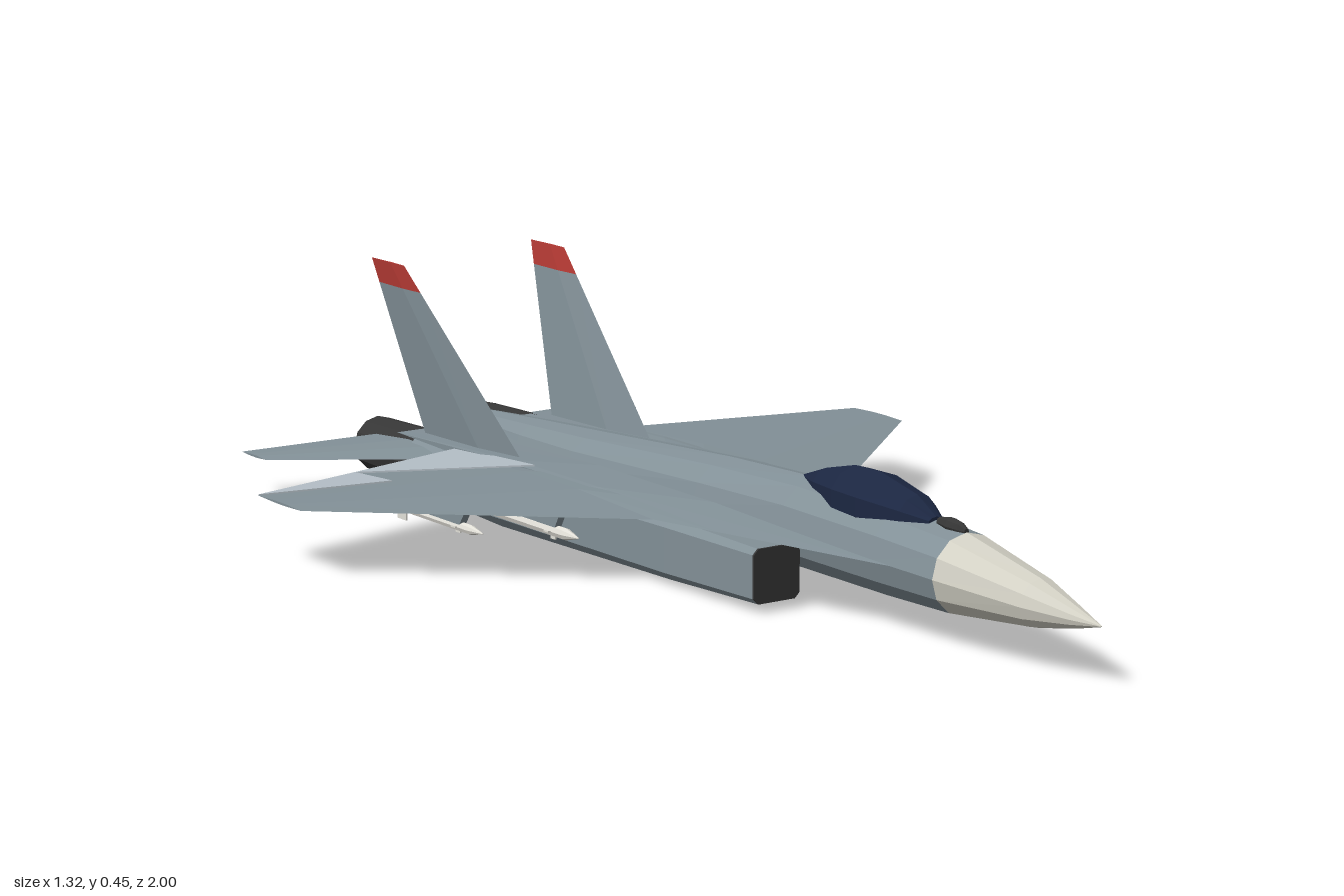
import * as THREE from 'three';

const mat = (name, color) => {
  const m = new THREE.MeshStandardMaterial({ color, flatShading: true });
  m.name = name;
  return m;
};

// Closed solid through equal-length rings of [x, y, z]; faces are turned outward
function loft(rings) {
  const tris = [], n = rings[0].length;
  const fan = r => { for (let i = 1; i < n - 1; i++) tris.push([r[0], r[i], r[i + 1]]); };
  for (let k = 0; k < rings.length - 1; k++) {
    const a = rings[k], b = rings[k + 1];
    for (let i = 0; i < n; i++) {
      const j = (i + 1) % n;
      tris.push([a[i], a[j], b[j]], [a[i], b[j], b[i]]);
    }
  }
  fan([...rings[0]].reverse());
  fan(rings[rings.length - 1]);
  let volume = 0;
  for (const [a, b, c] of tris) {
    volume += a[0] * (b[1] * c[2] - b[2] * c[1]) + a[1] * (b[2] * c[0] - b[0] * c[2]) + a[2] * (b[0] * c[1] - b[1] * c[0]);
  }
  if (volume < 0) tris.forEach(t => t.reverse());
  const g = new THREE.BufferGeometry();
  g.setAttribute('position', new THREE.Float32BufferAttribute(tris.flat(2), 3));
  g.computeVertexNormals();
  return g;
}

// Elliptical ring from [z, centreY, radiusX, radiusY]
const oval = (sides, turn = 0) => ([z, y, rx, ry]) => Array.from({ length: sides }, (_, i) => {
  const a = ((i + turn) / sides) * Math.PI * 2;
  return [Math.cos(a) * rx, y + Math.sin(a) * ry, z];
});

// Thin aerofoil ring from [x, y, leadingZ, trailingZ, halfThickness]
const foil = s => ([x, y, le, te, h]) => {
  const f = le + (te - le) * 0.35, r = le + (te - le) * 0.62;
  return [[s * x, y, le], [s * x, y + h, f], [s * x, y + h, r], [s * x, y, te], [s * x, y - h, r], [s * x, y - h, f]];
};

export function createModel() {
  const jet = new THREE.Group();
  jet.name = 'fighterJet';
  const grey = mat('bodyGrey', 0x829097);
  const pale = mat('panelGrey', 0xb4bec6);
  const cream = mat('noseCream', 0xd2d0c4);
  const navy = mat('canopyNavy', 0x1c2742);
  const dark = mat('engineDark', 0x363636);
  const red = mat('finRed', 0xb53a34);
  const white = mat('missileWhite', 0xe2e0d8);
  const add = (name, geometry, material, parent = jet) => {
    const m = new THREE.Mesh(geometry, material);
    m.name = name;
    parent.add(m);
    return m;
  };

  // Fuselage, nose cone, canopy and sensor
  const body = oval(12);
  add('noseCone', loft([[1, 0.105, 0.001, 0.001], [0.94, 0.107, 0.02, 0.018], [0.85, 0.112, 0.045, 0.041],
    [0.66, 0.122, 0.071, 0.07]].map(body)), cream);
  add('fuselage', loft([[0.66, 0.122, 0.071, 0.07], [0.5, 0.126, 0.077, 0.077], [0.25, 0.13, 0.081, 0.08],
    [0, 0.128, 0.084, 0.074], [-0.4, 0.122, 0.08, 0.056], [-0.6, 0.122, 0.063, 0.044],
    [-0.8, 0.125, 0.036, 0.028], [-0.9, 0.122, 0.02, 0.016], [-0.95, 0.12, 0.002, 0.002]].map(body)), grey);
  add('canopy', loft([[0.58, 0.195, 0.016, 0.008], [0.53, 0.197, 0.04, 0.034], [0.43, 0.198, 0.056, 0.054],
    [0.36, 0.2, 0.054, 0.051], [0.28, 0.202, 0.032, 0.03], [0.215, 0.205, 0.003, 0.004]].map(oval(10, 0.5))), navy);
  add('sensor', loft([[0.66, 0.193, 0.005, 0.005], [0.645, 0.194, 0.009, 0.013], [0.62, 0.196, 0.014, 0.014],
    [0.59, 0.197, 0.008, 0.008]].map(oval(8))), dark);

  for (const s of [1, -1]) {
    const side = new THREE.Group();
    side.name = s > 0 ? 'leftSide' : 'rightSide';
    jet.add(side);

    // Shoulder deck, main wing and tailplane
    add('deck', loft([[0.0, 0.125, 0.57, -0.83, 0.018], [0.072, 0.125, 0.57, -0.83, 0.017],
      [0.165, 0.125, 0.19, -0.83, 0.013], [0.18, 0.125, 0.13, -0.83, 0.011]].map(foil(s))), grey, side);
    add('wing', loft([[0.165, 0.125, 0.19, -0.63, 0.012], [0.2, 0.125, -0.05 + 0.1, -0.62, 0.011],
      [0.66, 0.125, -0.36, -0.51, 0.002]].map(foil(s))), grey, side);
    add('tailplane', loft([[0.15, 0.102, -0.64, -0.935, 0.008], [0.42, 0.088, -0.91, -1, 0.002]].map(foil(s))), grey, side);

    // Canted fin with a painted tip
    const fin = y => {
      const t = (y - 0.15) / 0.3, x = s * (0.145 + 0.034 * t), h = 0.008 - 0.006 * t;
      const le = -0.475 - 0.325 * t, te = -0.8 - 0.115 * t, mid = le * 0.6 + te * 0.4;
      return [[x, y, le], [x + h, y, mid], [x, y, te], [x - h, y, mid]];
    };
    add('fin', loft([fin(0.12), fin(0.403)]), grey, side);
    add('finTip', loft([fin(0.403), fin(0.448)]), red, side);

    // Engine trunk with chamfered corners, from [z, bottom, top, halfWidth, chamfer]
    const box = ([z, b, t, w, c]) => [[-w, b + c], [-w + c, b], [w - c, b], [w, b + c],
      [w, t - c], [w - c, t], [-w + c, t], [-w, t - c]].map(([x, y]) => [s * 0.121 + x, y, z]);
    add('engineTrunk', loft([[0.298, 0.02, 0.116, 0.048, 0.01], [0.05, 0.013, 0.122, 0.056, 0.014],
      [-0.5, 0.003, 0.124, 0.06, 0.022], [-0.8, 0.012, 0.125, 0.058, 0.028]].map(box)), grey, side);
    add('intake', loft([[0.302, 0.02, 0.116, 0.048, 0.01], [0.298, 0.02, 0.116, 0.048, 0.01]].map(box)), dark, side);
    const nozzle = add('nozzle', new THREE.CylinderGeometry(0.058, 0.053, 0.2, 12), dark, side);
    nozzle.rotation.x = Math.PI / 2;
    nozzle.position.set(s * 0.121, 0.068, -0.9);

    // Missiles on pylons: x, y, nose z, tail z, radius, fin half-span
    for (const [x, y, z0, z1, r, span] of [[0.255, 0.07, -0.1, -0.5, 0.011, 0.032], [0.395, 0.08, -0.19, -0.48, 0.009, 0.024]]) {
      const missile = new THREE.Group();
      missile.name = 'missile';
      missile.position.set(s * x, y, 0);
      side.add(missile);
      add('missileBody', loft([[z0, 0, 0.001, 0.001], [z0 - 0.04, 0, r, r], [z1, 0, r, r]].map(oval(8))), white, missile);
      for (const turn of [0, Math.PI / 2]) {
        for (const [z, size] of [[z1 + 0.02, 1], [z0 - 0.08, 0.5]]) {
          const f = add('missileFin', new THREE.BoxGeometry(span * 2 * size, 0.003, 0.03 * size), white, missile);
          f.position.z = z;
          f.rotation.z = turn;
        }
      }
      // Pylon swept back at both ends
      const pylonRing = (py, front, back) => [[-0.007, front], [0.007, front], [0.007, back], [-0.007, back]]
        .map(([dx, z]) => [s * x + dx, py, z]);
      add('pylon', loft([pylonRing(y, z0 - 0.07, z1 + 0.07), pylonRing(0.122, z0 - 0.04, z1 + 0.1)]), grey, side);
    }
  }

  // Pale panels on the right wing's trailing edge
  for (const tri of [
    [[-0.66, 0.127, -0.51], [-0.43, 0.136, -0.435], [-0.43, 0.128, -0.565]],
    [[-0.43, 0.128, -0.565], [-0.17, 0.143, -0.37], [-0.17, 0.129, -0.63]],
  ]) {
    add('wingPanel', loft([tri, tri.map(([x, y, z]) => [x, y - 0.003, z])]), pale);
  }
  return jet;
}
